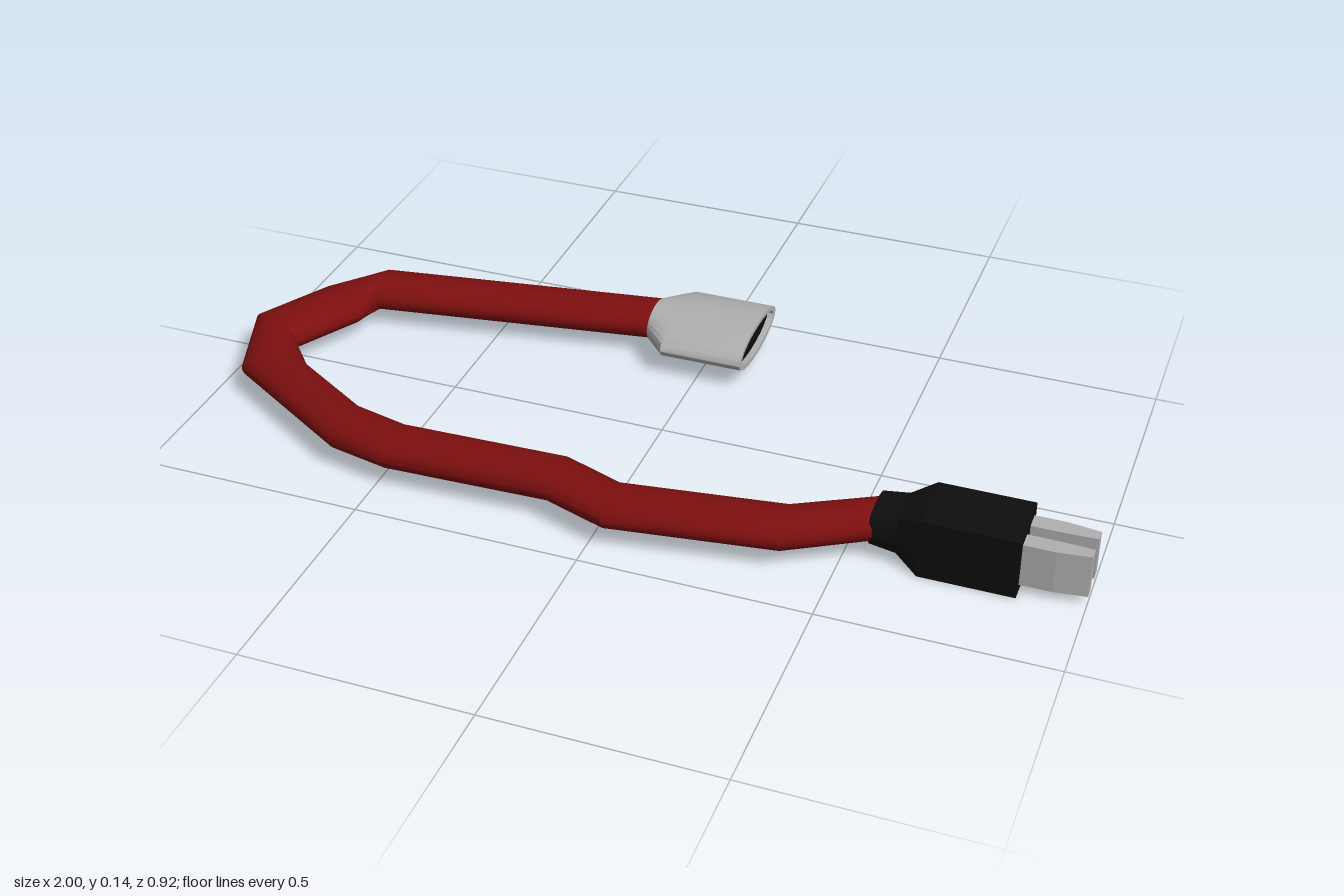
import * as THREE from 'three';
import { toCreasedNormals } from 'three/addons/utils/BufferGeometryUtils.js';

const mat = (name, color, side = THREE.FrontSide) =>
  Object.assign(new THREE.MeshStandardMaterial({ color, side }), { name });

// One cross-section: centre, sideways half-width vector (ux, uz) and half-height.
// square = 0 gives an ellipse, 1 gives a rectangle.
function ring(x, y, z, ux, uz, h, square = 0, sides = 32) {
  const pts = [];
  for (let i = 0; i < sides; i++) {
    const a = (i / sides) * Math.PI * 2;
    const c = Math.cos(a), s = Math.sin(a);
    const k = 1 + square * (1 / Math.max(Math.abs(c), Math.abs(s)) - 1);
    pts.push([x + ux * c * k, y + h * s * k, z + uz * c * k]);
  }
  return pts;
}

// Skin a row of cross-sections, closing the chosen ends
function loft(rings, crease, capStart = true, capEnd = true) {
  const n = rings[0].length;
  const pos = rings.flat(2);
  const index = [];
  for (let i = 0; i < rings.length - 1; i++) {
    for (let j = 0; j < n; j++) {
      const a = i * n + j, b = i * n + (j + 1) % n;
      index.push(a, b, a + n, b, b + n, a + n);
    }
  }
  const last = (rings.length - 1) * n;
  for (let j = 1; j < n - 1; j++) {
    if (capStart) index.push(0, j + 1, j);
    if (capEnd) index.push(last, last + j, last + j + 1);
  }
  const g = new THREE.BufferGeometry();
  g.setAttribute('position', new THREE.Float32BufferAttribute(pos, 3));
  g.setIndex(index);
  return toCreasedNormals(g, crease);
}

export function createModel() {
  const group = new THREE.Group();
  const red = mat('cable red', 0x7d0f0f);
  const black = mat('plug black', 0x0e0e0e);
  const grey = mat('metal grey', 0xb0b0b0);
  const add = (name, geometry, material) => {
    const m = new THREE.Mesh(geometry, material);
    m.name = name;
    group.add(m);
    return m;
  };

  // Cable: mitre lines at each bend as outer x, z, inner x, z, centre height
  const bends = [
    [-0.12, -0.402, -0.12, -0.278, 0.067],
    [-0.795, -0.295, -0.78, -0.172, 0.069],
    [-0.912, -0.165, -0.785, -0.105, 0.07],
    [-1.0, 0.0, -0.87, 0.055, 0.071],
    [-0.93, 0.195, -0.79, 0.145, 0.072],
    [-0.615, 0.385, -0.6, 0.26, 0.072],
    [-0.475, 0.415, -0.475, 0.29, 0.072],
    [-0.11, 0.405, -0.1, 0.282, 0.073],
    [0.035, 0.455, 0.035, 0.332, 0.074],
    [0.395, 0.405, 0.385, 0.285, 0.075],
    [0.57, 0.3, 0.56, 0.19, 0.075],
  ];
  add('cable', loft(bends.map(([ox, oz, ix, iz, y]) =>
    ring((ox + ix) / 2, y, (oz + iz) / 2, (ix - ox) / 2, (iz - oz) / 2, 0.04)), 0.45), red);

  // Flat oval socket with a shallow recess
  const sz = -0.335, sy = 0.067;
  add('socket', loft([
    ring(-0.137, sy, sz, 0, -0.066, 0.041),
    ring(-0.08, sy, sz, 0, -0.132, 0.041),
    ring(0.11, sy, sz, 0, -0.132, 0.041),
    ring(0.11, sy, sz, 0, -0.115, 0.031),
    ring(0.095, sy, sz, 0, -0.115, 0.031),
  ], 0.5, true, false), grey);
  add('socketOpening', loft([
    ring(0.09, sy, sz, 0, -0.115, 0.031),
    ring(0.096, sy, sz, 0, -0.115, 0.031),
  ], 0.5), black);

  // Plug body: round sleeve flaring into a box
  const pz = 0.241, py = 0.068;
  add('plugBody', loft([
    ring(0.553, 0.075, 0.246, 0, -0.06, 0.042, 0.3, 16),
    ring(0.61, 0.073, 0.244, 0, -0.057, 0.046, 0.6, 16),
    ring(0.66, py, pz, 0, -0.072, 0.068, 1, 16),
    ring(0.863, py, pz, 0, -0.072, 0.068, 1, 16),
  ], 0.3), black);

  // Two mirrored prongs, tapering on their outer faces
  for (const s of [1, -1]) {
    const section = (x, inner, outer) =>
      ring(x, 0.069, pz + s * (inner + outer) / 2, 0, -(outer - inner) / 2, 0.049, 1, 8);
    add(s > 0 ? 'frontProng' : 'backProng', loft([
      section(0.85, 0.015, 0.053),
      section(0.93, 0.015, 0.053),
      section(1.0, 0.018, 0.044),
    ], 0.05), grey);
  }
  return group;
}
